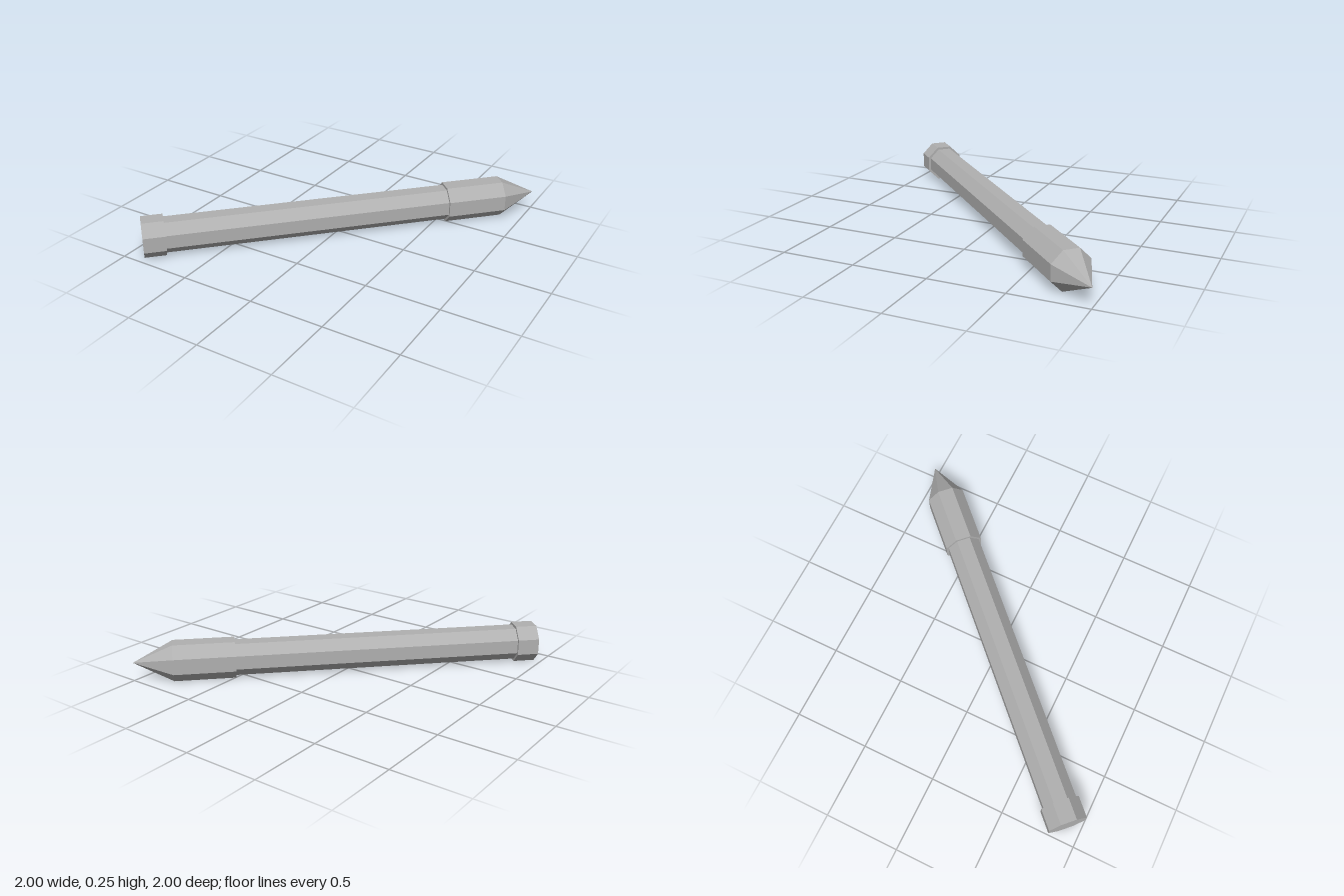
import * as THREE from 'three';

const SIDES = 8;
const HEIGHT = 0.125; // axis height above the ground
const toRadius = (apothem) => apothem / Math.cos(Math.PI / SIDES);

export function createModel() {
  const model = new THREE.Group();
  const grey = new THREE.MeshStandardMaterial({ color: 0xb0b0b0, flatShading: true });
  grey.name = 'grey';

  // Everything is turned around one axis, laid along x, then swung diagonally
  const rod = new THREE.Group();
  rod.name = 'rod';
  rod.position.y = HEIGHT;
  rod.rotation.y = Math.PI / 4;
  model.add(rod);

  // profile: [apothem, distance along the axis], from tail to tip
  function addPart(name, profile) {
    const points = profile.map(([a, t]) => new THREE.Vector2(toRadius(a), t));
    const geometry = new THREE.LatheGeometry(points, SIDES, Math.PI / SIDES);
    geometry.rotateZ(-Math.PI / 2);
    const mesh = new THREE.Mesh(geometry, grey);
    mesh.name = name;
    rod.add(mesh);
  }

  // Wider collar closing the tail
  addPart('tailCap', [[0, -1.289], [0.125, -1.289], [0.125, -1.146], [0, -1.146]]);
  // Long eight-sided shaft
  addPart('shaft', [[0.109, -1.146], [0.109, 0.753]]);
  // Wider head tapering to a point
  addPart('pointedHead', [[0, 0.753], [0.125, 0.753], [0.125, 1.154], [0, 1.414]]);

  return model;
}
